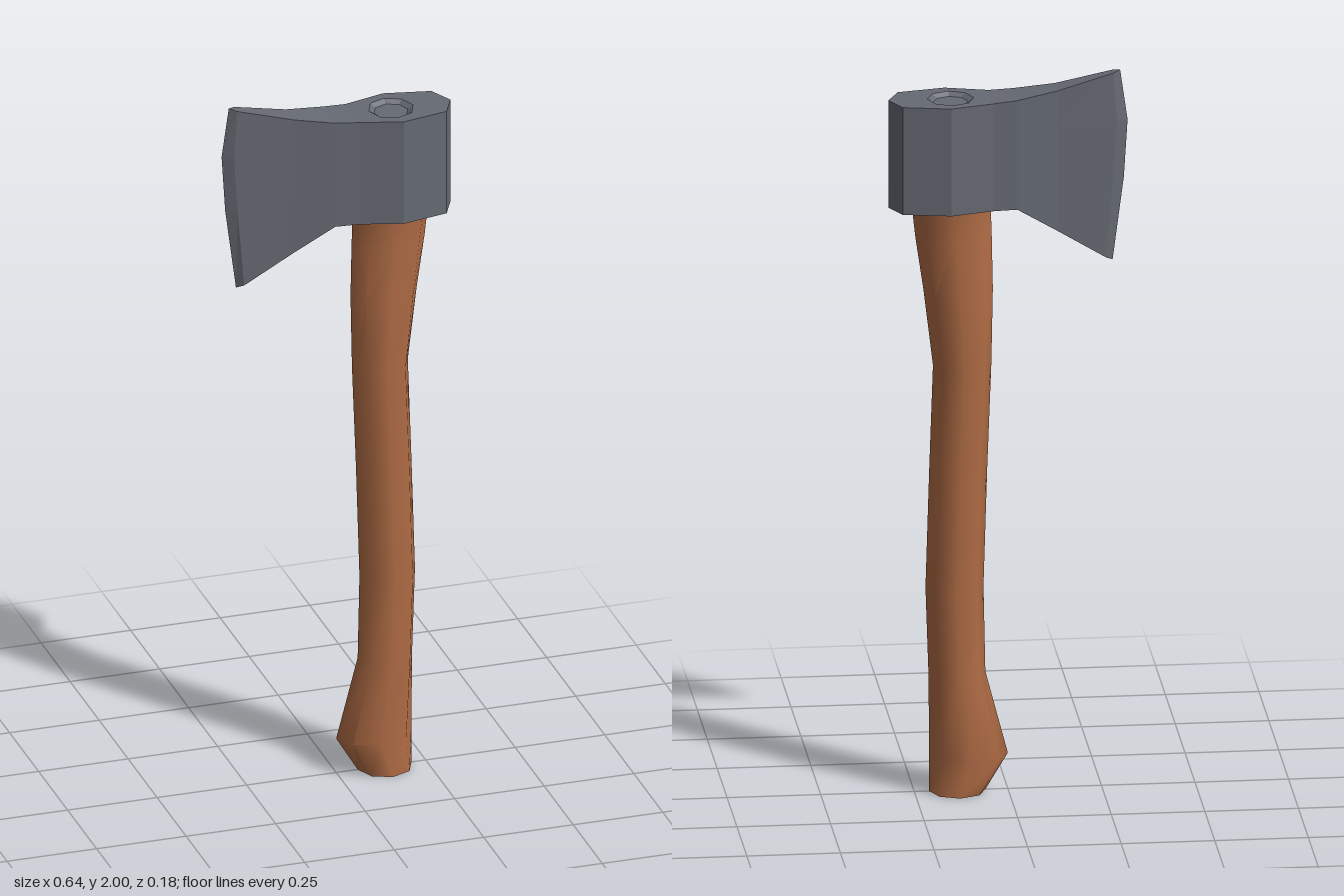
import * as THREE from 'three';
import { toCreasedNormals } from 'three/addons/utils/BufferGeometryUtils.js';

const wood = new THREE.MeshStandardMaterial({ color: 0xb06c45 });
const steel = new THREE.MeshStandardMaterial({ color: 0x666a73, flatShading: true });

// Octagonal handle: a cylinder whose rings follow [y, minX, maxX, halfDepth]
function makeHandle() {
  const rings = [
    [0, 0.06, 0.21, 0.073], [0.1, 0, 0.21, 0.073], [0.33, 0.06, 0.212, 0.073],
    [0.57, 0.065, 0.22, 0.073], [0.9, 0.055, 0.21, 0.073], [1.19, 0.044, 0.2, 0.073],
    [1.4, 0.04, 0.225, 0.073], [1.55, 0.043, 0.247, 0.064], [1.64, 0.046, 0.257, 0.07],
  ];
  const n = rings.length - 1;
  const geo = new THREE.CylinderGeometry(1, 1, 1, 8, n);
  const p = geo.attributes.position;
  for (let i = 0; i < p.count; i++) {
    const [y, x0, x1, d] = rings[Math.round((p.getY(i) + 0.5) * n)];
    p.setXYZ(i, (x0 + x1) / 2 + p.getX(i) * (x1 - x0) / 2, y, p.getZ(i) * d);
  }
  const mesh = new THREE.Mesh(toCreasedNormals(geo, 0.9), wood);
  mesh.name = 'handle';
  return mesh;
}

// Straight column of the head, bottom to top
const column = (x, h, y0, y1) => ({ h, pts: [0, 0.43, 0.74, 1].map(t => [x, y0 + t * (y1 - y0)]) });
const TOP = 1.935, BOTTOM = 1.635;
const poll = [[0.045, 0.06], [0.16, 0.092], [0.287, 0.066], [0.319, 0]];

// Columns run from the cutting edge to the poll; h is half the thickness
const columns = [
  { h: 0, pts: [[-0.28, 1.47], [-0.31, 1.7], [-0.32, 1.86], [-0.3, 2]] },
  { h: 0.015, pts: [[-0.262, 1.48], [-0.28, 1.7], [-0.29, 1.86], [-0.28, 1.995]] },
  column(-0.13, 0.034, 1.565, 1.957),
  column(-0.02, 0.054, BOTTOM, 1.94),
  ...poll.map(([x, h]) => column(x, h, BOTTOM, TOP)),
];

function makeHead() {
  const verts = [];
  const quad = (a, b, c, d) => verts.push(...a, ...b, ...c, ...a, ...c, ...d);
  const at = (c, r, s) => [...columns[c].pts[r], s * columns[c].h];
  const firstPoll = columns.length - poll.length;
  for (let c = 0; c < columns.length - 1; c++) {
    for (let r = 0; r < 3; r++) {
      quad(at(c, r, 1), at(c + 1, r, 1), at(c + 1, r + 1, 1), at(c, r + 1, 1));
      quad(at(c + 1, r, -1), at(c, r, -1), at(c, r + 1, -1), at(c + 1, r + 1, -1));
    }
    quad(at(c, 0, -1), at(c + 1, 0, -1), at(c + 1, 0, 1), at(c, 0, 1));
    if (c < firstPoll) quad(at(c, 3, 1), at(c + 1, 3, 1), at(c + 1, 3, -1), at(c, 3, -1));
  }
  const geo = new THREE.BufferGeometry();
  geo.setAttribute('position', new THREE.Float32BufferAttribute(verts, 3));
  geo.computeVertexNormals();
  const mesh = new THREE.Mesh(geo, steel);
  mesh.name = 'axeHead';
  return mesh;
}

// Flat top of the poll with a shallow octagonal recess
function makePollTop() {
  const group = new THREE.Group();
  group.name = 'pollTop';
  const cx = 0.153, outer = 0.062, inner = 0.047, depth = 0.01;
  const shape = new THREE.Shape([
    ...poll.map(([x, h]) => new THREE.Vector2(x, -h)),
    ...poll.slice(0, -1).reverse().map(([x, h]) => new THREE.Vector2(x, h)),
  ]);
  const rim = [];
  for (let i = 0; i < 8; i++) {
    const a = i * Math.PI / 4;
    rim.push(new THREE.Vector2(cx + outer * Math.cos(a), outer * Math.sin(a)));
  }
  shape.holes.push(new THREE.Path(rim));
  const plate = new THREE.Mesh(new THREE.ShapeGeometry(shape).rotateX(-Math.PI / 2), steel);
  plate.name = 'pollPlate';
  plate.position.y = TOP;

  // Floor and sloping wall of the recess, profile from centre outwards
  const profile = [[0, -depth], [inner, -depth], [outer, 0]].map(([x, y]) => new THREE.Vector2(x, y));
  const dishMat = steel.clone();
  dishMat.side = THREE.DoubleSide;
  const dish = new THREE.Mesh(new THREE.LatheGeometry(profile, 8), dishMat);
  dish.name = 'pollRecess';
  dish.position.set(cx, TOP, 0);
  group.add(plate, dish);
  return group;
}

export function createModel() {
  const model = new THREE.Group();
  model.name = 'axe';
  model.add(makeHandle(), makeHead(), makePollTop());
  return model;
}
